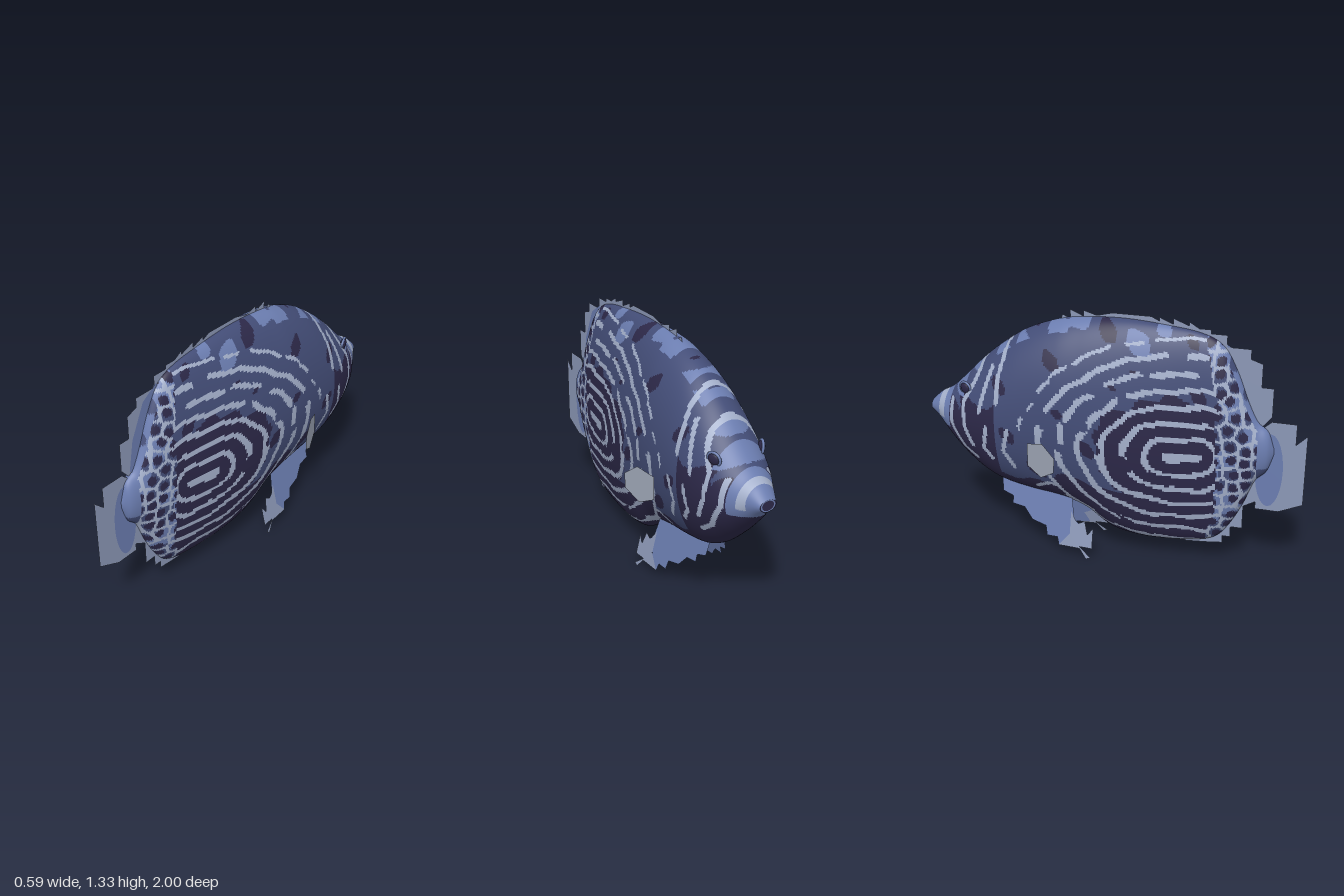
import * as THREE from 'three';

const mat = (name, color, extra = {}) => Object.assign(new THREE.MeshStandardMaterial({ color, ...extra }), { name });
const both = { side: THREE.DoubleSide };
const navy = mat('navy', 0x434d77);
const purple = mat('dark purple', 0x2c2848);
const pale = mat('pale stripe', 0xa3afca);
const blue = mat('mid blue', 0x6b7db0, both);
const finGrey = mat('fin grey blue', 0x8b97b6, both);
const palmGrey = mat('pectoral grey', 0x9ca4b4, both);
const SKIN = [navy, purple, pale, blue];
const [NAVY, PURPLE, PALE, BLUE] = [0, 1, 2, 3];

// Body stations from snout to tail: z, top, bottom, half width
const STATIONS = [
  [-1, 0.765, 0.705, 0.045], [-0.95, 0.81, 0.66, 0.075], [-0.88, 0.85, 0.58, 0.12], [-0.8, 0.925, 0.495, 0.165],
  [-0.7, 1.025, 0.405, 0.195], [-0.6, 1.11, 0.35, 0.212], [-0.45, 1.21, 0.315, 0.22], [-0.26, 1.28, 0.285, 0.22],
  [-0.13, 1.3, 0.24, 0.208], [0, 1.308, 0.15, 0.195], [0.1, 1.308, 0.12, 0.18], [0.25, 1.297, 0.11, 0.157],
  [0.46, 1.268, 0.13, 0.118], [0.57, 1.21, 0.17, 0.1], [0.64, 1.09, 0.26, 0.087], [0.7, 0.94, 0.38, 0.075],
  [0.75, 0.84, 0.51, 0.062], [0.81, 0.785, 0.58, 0.042], [0.84, 0.7, 0.67, 0.005],
];

// Smooth interpolation between stations
function section(z) {
  let i = 0;
  while (i < STATIONS.length - 2 && z > STATIONS[i + 1][0]) i++;
  const at = (k) => STATIONS[Math.max(0, Math.min(STATIONS.length - 1, k))];
  const [p, a, b, q] = [at(i - 1), at(i), at(i + 1), at(i + 2)];
  const d = b[0] - a[0], t = Math.min(1, (z - a[0]) / d);
  return [1, 2, 3].map((k) => {
    const m0 = ((b[k] - p[k]) / (b[0] - p[0])) * d, m1 = ((q[k] - a[k]) / (q[0] - a[0])) * d;
    const t2 = t * t, t3 = t2 * t;
    return (2 * t3 - 3 * t2 + 1) * a[k] + (t3 - 2 * t2 + t) * m0 + (3 * t2 - 2 * t3) * b[k] + (t3 - t2) * m1;
  });
}

// Face stripes as z, y paths
const FACE_LINES = [
  [-0.53, 1.2, -0.54, 1.08, -0.56, 0.97, -0.56, 0.86],
  [-0.6, 1.03, -0.63, 0.92, -0.66, 0.8],
  [-0.67, 1.1, -0.68, 1.0, -0.7, 0.94, -0.76, 0.83, -0.75, 0.7, -0.71, 0.6],
  [-0.84, 0.82, -0.84, 0.7, -0.77, 0.57, -0.7, 0.52],
  [-0.5, 0.72, -0.53, 0.6, -0.48, 0.5],
  [-0.62, 0.72, -0.64, 0.6, -0.6, 0.54],
  [-0.2, 0.4, -0.3, 0.42, -0.38, 0.38],
];
function lineDistance(path, z, y) {
  let best = 9;
  for (let i = 0; i + 3 < path.length; i += 2) {
    const dz = path[i + 2] - path[i], dy = path[i + 3] - path[i + 1];
    const t = THREE.MathUtils.clamp(((z - path[i]) * dz + (y - path[i + 1]) * dy) / (dz * dz + dy * dy), 0, 1);
    best = Math.min(best, Math.hypot(z - path[i] - t * dz, y - path[i + 1] - t * dy));
  }
  return best;
}

const hash = (a, b) => { const s = Math.sin(a * 127.1 + b * 311.7) * 43758.5453; return s - Math.floor(s); };
const wave = (z, y) => (Math.sin(z * 17 + y * 9) + Math.sin(y * 23 - z * 13 + 1) + Math.sin(z * 31 + y * 27 + 2)) / 3;

// Nearest and second nearest cell centres, for the spotted rear edge
function cells(z, y) {
  const a = z / 0.075, b = y / 0.075;
  let d1 = 9, d2 = 9;
  for (let i = -1; i <= 1; i++) for (let j = -1; j <= 1; j++) {
    const u = Math.floor(a) + i, v = Math.floor(b) + j;
    const d = Math.hypot(u + 0.2 + 0.6 * hash(u, v) - a, v + 0.2 + 0.6 * hash(v, u + 7) - b);
    if (d < d1) { d2 = d1; d1 = d; } else if (d < d2) d2 = d;
  }
  return [d1, d2];
}

// Skin pattern: rings on the flank, spots behind, stripes on the face
function skin(x, y, z) {
  const n = wave(z, y), ax = Math.abs(x);
  if (z < -0.86) return z < -0.9 && z > -0.94 && y > 0.7 ? PALE : y > 0.66 ? BLUE : PURPLE;
  if (z > 0.76) return y > 0.6 ? BLUE : NAVY;
  if (z > 0.6 && ax < 0.035 && y > 0.75) return n > 0.35 ? NAVY : BLUE;
  const rear = 0.56 - 0.25 * Math.max(0, y - 0.95) - 0.12 * Math.max(0, 0.4 - y);
  if (z > rear + 0.02 * n) {
    const [d1, d2] = cells(z, y);
    return d2 - d1 < 0.2 ? PALE : d1 < 0.32 ? PURPLE : y > 1.1 || n > 0.1 ? BLUE : NAVY;
  }
  const dz = z - 0.41;
  const r = Math.hypot(Math.max(Math.abs(dz) - 0.07, 0) * (dz < 0 ? 0.76 : 1.15), y - 0.65) + 0.012 * n;
  const front = -0.44 + 0.5 * Math.max(0, 0.75 - y);
  if (z > front && r < 0.6) {
    const k = Math.round((r - 0.1) / 0.083);
    const off = Math.abs(r - 0.1 - k * 0.083);
    const gap = wave(z * 1.3 + k, y * 1.2 - k);
    if (r < 0.022 || (k >= 0 && off < 0.0135 && gap > (k < 4 ? -0.62 : -0.3))) return PALE;
    if (r < 0.3 + 0.06 * n || y < 0.46 + 0.06 * n) return PURPLE;
    if (y > 1.15 && n > 0.4) return BLUE;
    return n < -0.68 ? PURPLE : NAVY;
  }
  if (FACE_LINES.some((p) => lineDistance(p, z, y) < 0.0115)) return PALE;
  if (z > -0.16 && z < -0.04 && y < 0.32) return PALE;
  if (y > 0.98 && ax < 0.09 && n > 0.3) return BLUE;
  if (z < -0.76 && y > 0.85) return n > 0.1 ? BLUE : NAVY;
  if (y < 0.43 + 0.05 * n || (z < -0.57 && y < 0.84 + 0.1 * n)) return PURPLE;
  return n < -0.6 ? PURPLE : NAVY;
}

// Lofted body, each cell sorted into a colour group
function makeBody() {
  const NZ = 230, NT = 256, pos = [], faces = SKIN.map(() => []);
  for (let i = 0; i <= NZ; i++) {
    const u = i / NZ, z = -1 + 1.84 * (u - 0.05 * Math.sin(2 * Math.PI * u));
    const [top, bottom, w] = section(z);
    for (let j = 0; j < NT; j++) {
      const t = (j / NT) * Math.PI * 2, s = Math.sin(t);
      pos.push(w * Math.sign(s) * Math.abs(s) ** 1.08, (top + bottom) / 2 + ((top - bottom) / 2) * Math.cos(t), z);
    }
  }
  for (let i = 0; i < NZ; i++) for (let j = 0; j < NT; j++) {
    const a = i * NT + j, d = i * NT + ((j + 1) % NT), b = a + NT, c = d + NT;
    const mid = [0, 1, 2].map((k) => (pos[a * 3 + k] + pos[c * 3 + k]) / 2);
    faces[skin(...mid)].push(a, b, c, a, c, d);
  }
  const geo = new THREE.BufferGeometry();
  geo.setAttribute('position', new THREE.Float32BufferAttribute(pos, 3));
  geo.setIndex(faces.flat());
  let start = 0;
  faces.forEach((f, k) => { geo.addGroup(start, f.length, k); start += f.length; });
  geo.computeVertexNormals();
  return geo;
}

// Flat fin from a z, y outline, with x set by a rule
function fin(outline, xRule = () => 0) {
  const geo = new THREE.ShapeGeometry(new THREE.Shape(outline.map(([z, y]) => new THREE.Vector2(z, y))));
  const p = geo.attributes.position;
  for (let i = 0; i < p.count; i++) {
    const z = p.getX(i), y = p.getY(i);
    p.setXYZ(i, xRule(z, y), y, z);
  }
  geo.computeVertexNormals();
  return geo;
}

export function createModel() {
  const group = new THREE.Group();
  const add = (name, geo, material, x = 0, y = 0, z = 0) => {
    const m = new THREE.Mesh(geo, material);
    m.name = name;
    m.position.set(x, y, z);
    group.add(m);
    return m;
  };
  add('body', makeBody(), SKIN);

  // Mouth
  add('lips', new THREE.TorusGeometry(0.036, 0.01, 8, 24), blue, 0, 0.735, -0.99).scale.y = 0.75;
  add('mouthOpening', new THREE.CircleGeometry(0.045, 24).rotateY(Math.PI), purple, 0, 0.735, -0.9985).scale.y = 0.68;

  // Stepped fins along the midline
  add('dorsalFin', fin([
    [-0.3, 1.2], [-0.26, 1.3], [-0.22, 1.28], [-0.22, 1.33], [-0.15, 1.3], [-0.15, 1.33], [-0.08, 1.31], [0, 1.33], [0.2, 1.33],
    [0.24, 1.31], [0.24, 1.33], [0.31, 1.3], [0.31, 1.33], [0.39, 1.3], [0.39, 1.32], [0.44, 1.29], [0.5, 1.29], [0.5, 1.27],
    [0.58, 1.27], [0.58, 1.21], [0.7, 1.21], [0.7, 1.16], [0.76, 1.14], [0.76, 1.02], [0.82, 1.02],
    [0.82, 0.87], [0.78, 0.82], [0.72, 0.78], [0.6, 1], [0.4, 1.15],
  ]), finGrey);
  add('dorsalFinBase', fin([[0.5, 1.1], [0.57, 1.23], [0.66, 1.17], [0.74, 1], [0.77, 0.84], [0.7, 0.78]], () => 0.003), blue);
  add('analFin', fin([
    [0.7, 0.55], [0.77, 0.52], [0.77, 0.4], [0.7, 0.36], [0.7, 0.23], [0.64, 0.23], [0.64, 0.17],
    [0.6, 0.17], [0.6, 0.13], [0.52, 0.12], [0.4, 0.11], [0.4, 0.2], [0.6, 0.35],
  ]), finGrey);
  add('tailFin', fin([
    [0.76, 0.79], [0.82, 0.845], [0.945, 0.845], [0.945, 0.735], [1, 0.79], [1, 0.41], [0.88, 0.355], [0.76, 0.355],
  ]), finGrey);
  for (const s of [1, -1]) {
    add('tailFinBase', new THREE.CircleGeometry(1, 24).rotateY(s * Math.PI / 2), blue, s * 0.003, 0.58, 0.82).scale.set(1, 0.2, 0.07);
  }

  // Paired parts
  for (const s of [1, -1]) {
    const side = s > 0 ? 'left' : 'right';
    add(side + 'PectoralFin', fin([
      [-0.217, 0.636], [-0.292, 0.695], [-0.388, 0.668], [-0.388, 0.545], [-0.303, 0.503], [-0.222, 0.556],
    ], (z) => s * (0.295 + (z + 0.217) * 0.41)), palmGrey);
    const splay = (z, y) => s * (0.15 - 0.24 * y + 0.06 * (z + 0.25));
    add(side + 'PelvicFin', fin([
      [-0.61, 0.38], [-0.6, 0.29], [-0.54, 0.27], [-0.54, 0.23], [-0.47, 0.22], [-0.42, 0.16], [-0.34, 0.14], [-0.33, 0.09],
      [-0.27, 0.09], [-0.26, 0.05], [-0.17, 0.06], [-0.2, 0.12], [-0.12, 0.16], [-0.18, 0.2], [-0.2, 0.32],
    ], splay), blue);
    add(side + 'PelvicFinTip', fin([
      [-0.26, 0.05], [-0.14, 0.05], [-0.1, 0], [-0.075, 0.01], [-0.14, 0.06], [-0.07, 0.06], [-0.07, 0.17], [-0.1, 0.13],
      [-0.12, 0.2], [-0.16, 0.18], [-0.2, 0.24], [-0.2, 0.12],
    ], (z, y) => splay(z, y) + s * 0.002), finGrey);
    // Eye with a pale rim
    const eye = new THREE.Group();
    eye.name = side + 'Eye';
    eye.position.set(s * 0.13, 0.895, -0.755);
    eye.rotation.set(-0.35, s * 1.95, 0);
    const ball = new THREE.Mesh(new THREE.SphereGeometry(0.032, 20, 14), purple);
    ball.name = 'eyeball';
    ball.scale.z = 0.5;
    const rim = new THREE.Mesh(new THREE.TorusGeometry(0.034, 0.007, 8, 24), blue);
    rim.name = 'eyeRim';
    eye.add(ball, rim);
    group.add(eye);
  }
  return group;
}
